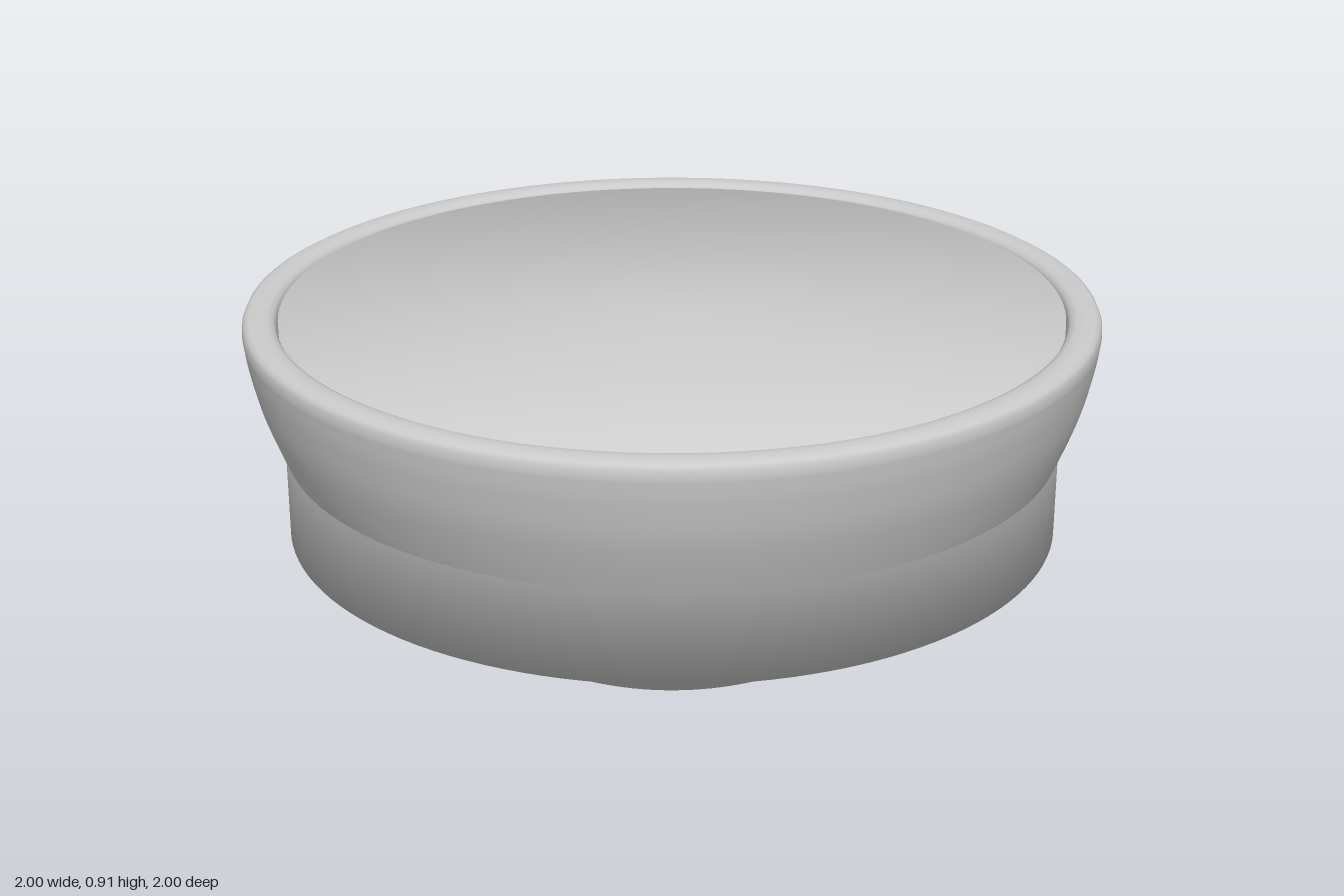
import * as THREE from 'three';
import { mergeVertices } from 'three/addons/utils/BufferGeometryUtils.js';

const material = new THREE.MeshStandardMaterial({ color: 0xcccccc });
const toPoints = (list) => list.map(([r, y]) => new THREE.Vector2(r, y));

// Share vertices across the lathe seam so the shading is continuous.
function smooth(geometry) {
  geometry.deleteAttribute('uv');
  geometry.deleteAttribute('normal');
  const merged = mergeVertices(geometry, 1e-5);
  merged.computeVertexNormals();
  return merged;
}

// Rounded overflow slot in the back wall, pressed in by moving vertices.
function cutSlot(geometry) {
  const p = geometry.attributes.position;
  for (let i = 0; i < p.count; i++) {
    const x = p.getX(i), y = p.getY(i), z = p.getZ(i);
    let r = Math.hypot(x, z);
    // gather the segments towards the back, where the slot needs detail
    const t = Math.atan2(x, -z) / Math.PI;
    const a = Math.PI * (0.25 * t + 0.75 * t * t * t);
    if (r > 0.93 && y > 0.65 && y < 0.86) {
      const d = Math.hypot(Math.max(Math.abs(a * r) - 0.13, 0), y - 0.755) - 0.05;
      r -= (r - 0.89) * (1 - THREE.MathUtils.smoothstep(d, -0.02, 0.015));
    }
    p.setXYZ(i, r * Math.sin(a), y, -r * Math.cos(a));
  }
}

export function createModel() {
  const group = new THREE.Group();

  // Bowl: inner wall, drain hole, foot ring, outer wall and rolled rim
  const inner = toPoints([
    [0.92, 0.89], [0.9, 0.75], [0.85, 0.6], [0.72, 0.39], [0.58, 0.26], [0.4, 0.155], [0.25, 0.11], [0.165, 0.1],
  ]);
  const foot = toPoints([
    [0.155, 0.09], [0.155, 0.025], [0.158, 0.012], [0.166, 0.003], [0.178, 0],
    [0.21, 0], [0.225, 0.004], [0.234, 0.013], [0.242, 0.026],
  ]);
  const outer = new THREE.SplineCurve(toPoints([
    [0.255, 0.035], [0.42, 0.095], [0.63, 0.235], [0.78, 0.37], [0.865, 0.48],
    [0.915, 0.58], [0.965, 0.71], [0.99, 0.81], [1, 0.875],
  ])).getSpacedPoints(150);
  const rim = toPoints([
    [0.999, 0.892], [0.994, 0.903], [0.983, 0.909], [0.96, 0.911], [0.94, 0.909], [0.927, 0.903], [0.92, 0.89],
  ]);
  const bowlGeometry = new THREE.LatheGeometry([...inner, ...foot, ...outer, ...rim], 256);
  cutSlot(bowlGeometry);
  const bowl = new THREE.Mesh(smooth(bowlGeometry), material);
  bowl.name = 'bowl';
  group.add(bowl);

  // Closed drum through the bowl: its top fills the opening, its lower edge is the skirt
  const drumProfile = toPoints([[0, 0.37], [0.917, 0.37], [0.917, 0.9], [0, 0.9]]);
  const drum = new THREE.Mesh(new THREE.LatheGeometry(drumProfile, 128), material);
  drum.name = 'drum';
  group.add(drum);

  return group;
}
